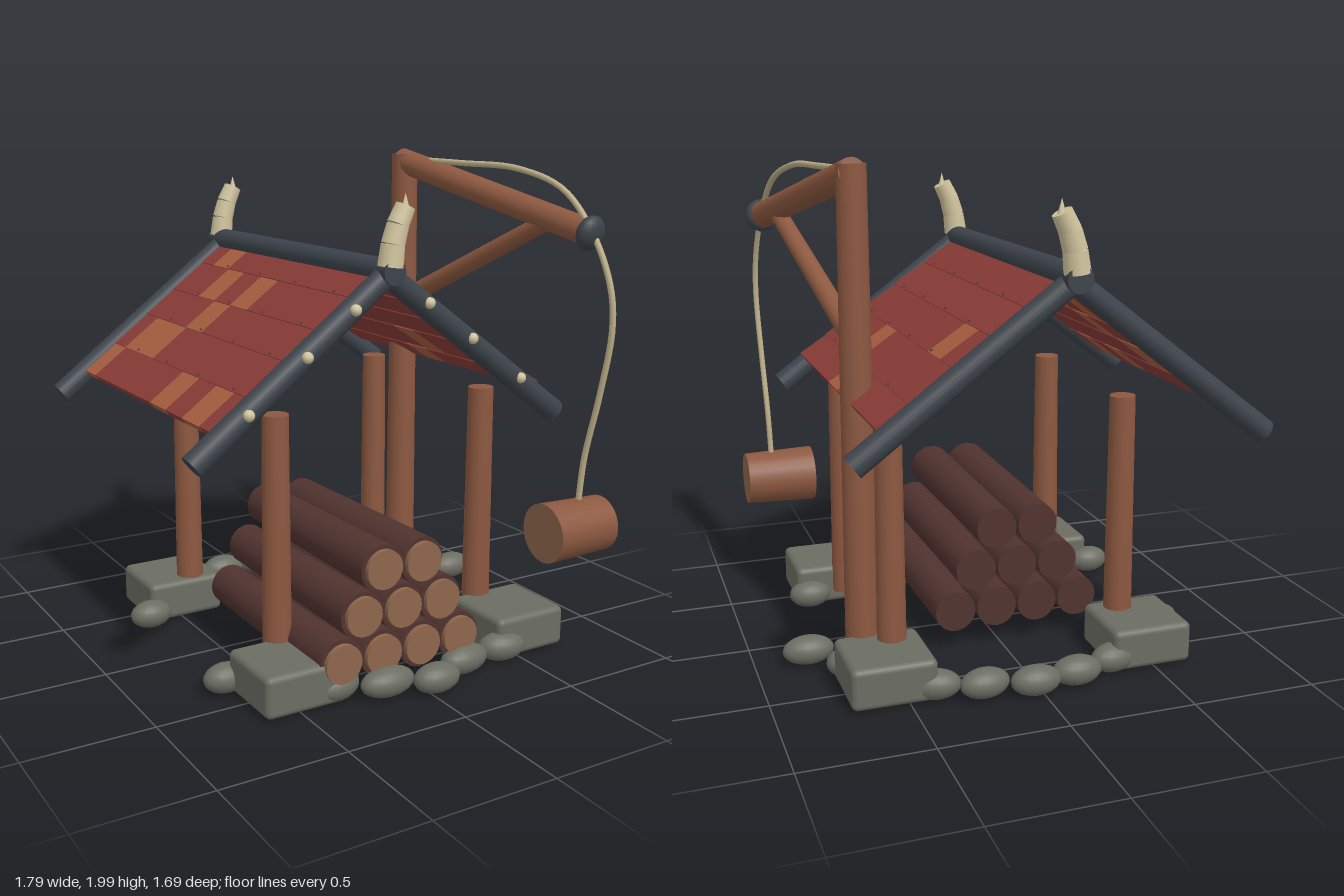
import * as THREE from 'three';
import { mergeGeometries } from 'three/addons/utils/BufferGeometryUtils.js';
import { RoundedBoxGeometry } from 'three/addons/geometries/RoundedBoxGeometry.js';

const makeMat = (name, color) => {
  const m = new THREE.MeshStandardMaterial({ color });
  m.name = name;
  return m;
};
const V = (x, y, z) => new THREE.Vector3(x, y, z);

export function createModel() {
  const root = new THREE.Group();
  root.name = 'woodShelter';
  const wood = makeMat('brown wood', 0x8c5840);
  const cutWood = makeMat('cut wood', 0x8e664b);
  const bark = makeMat('dark bark', 0x50332f);
  const slate = makeMat('dark slate beam', 0x3c434a);
  const red = makeMat('red plank', 0x8b3d38);
  const orange = makeMat('orange plank', 0xa85e40);
  const stone = makeMat('grey stone', 0x6b6d62);
  const ivory = makeMat('ivory', 0xcfc29c);
  const rope = makeMat('rope', 0xbcae88);

  const add = (name, geo, mat, pos) => {
    const m = new THREE.Mesh(geo, mat);
    m.name = name;
    if (pos) m.position.copy(pos);
    root.add(m);
    return m;
  };
  // Tapered round beam between two points
  const rod = (name, a, b, ra, rb, mat, sides = 20) => {
    const d = b.clone().sub(a);
    const m = add(name, new THREE.CylinderGeometry(rb, ra, d.length(), sides), mat, a.clone().add(b).multiplyScalar(0.5));
    m.quaternion.setFromUnitVectors(V(0, 1, 0), d.normalize());
    return m;
  };

  // Foundation blocks and roof posts
  for (const x of [-0.485, 0.56]) for (const z of [0.53, -0.52]) {
    add('footStone', new RoundedBoxGeometry(0.33, 0.165, 0.32, 3, 0.025), stone, V(x, 0.098, z));
  }
  for (const x of [-0.44, 0.51]) for (const z of [0.375, -0.43]) {
    rod('roofPost', V(x, 0.07, z), V(x, 1.065, z), 0.058, 0.051, wood);
  }

  // Pebbles along the front, back and sides: x, z, length, turn
  const pebbles = [
    [-0.33, 0.64, 0.1, 0.2], [-0.15, 0.71, 0.115, 0], [0.03, 0.775, 0.1, 0], [0.22, 0.69, 0.11, 0.1], [0.42, 0.67, 0.1, -0.2],
    [-0.33, -0.64, 0.1, 0.2], [-0.15, -0.7, 0.1, 0], [0.03, -0.73, 0.1, 0], [0.22, -0.69, 0.1, 0.1], [0.4, -0.64, 0.1, -0.2],
    [-0.66, 0.37, 0.09, 0], [0.67, 0.375, 0.09, 0], [-0.66, -0.35, 0.09, 0], [0.67, -0.345, 0.08, 0], [0.79, -0.19, 0.103, 0],
  ];
  for (const [x, z, r, turn] of pebbles) {
    const p = add('pebble', new THREE.SphereGeometry(1, 18, 12), stone, V(x, 0.066, z));
    p.scale.set(r, 0.058, 0.062);
    p.rotation.y = turn;
  }

  // Log stack with pale cut faces at the front
  for (let row = 0; row < 3; row++) for (let i = 0; i < 4 - row; i++) {
    const x = -0.333 + row * 0.088 + i * 0.176;
    const y = 0.17 + row * 0.168;
    rod('log', V(x, y, -0.255), V(x, y, 0.68), 0.084, 0.093, bark, 24);
    rod('logCutFace', V(x, y, 0.67), V(x, y, 0.7), 0.077, 0.077, cutWood, 24);
  }

  // Roof planks: each slope has five rows of nine cells, some of them orange
  const slopes = [
    { side: 'left', xs: [-0.08, -0.2, -0.34, -0.47, -0.62, -0.76], end: V(-0.87, 0.97, 0), lift: [0.015, 0.015],
      patches: [[1], [2, 4], [3], [1, 2], [0, 5, 7]] },
    { side: 'right', xs: [-0.08, 0.07, 0.2, 0.34, 0.5, 0.61], end: V(0.725, 0.98, 0), lift: [0.018, 0.05],
      patches: [[], [], [1], [5], [4]] },
  ];
  const apex = V(-0.08, 1.58, 0);
  const zBack = -0.76, cell = 1.33 / 9, thick = 0.03;
  for (const s of slopes) {
    const dir = s.end.clone().sub(apex).normalize();
    const up = V(Math.abs(dir.y), Math.abs(dir.x), 0);
    up.x *= Math.sign(dir.x);
    const at = (x, t) => apex.clone().addScaledVector(dir, (x - apex.x) / dir.x)
      .addScaledVector(up, THREE.MathUtils.lerp(s.lift[0], s.lift[1], t) - thick / 2);
    const parts = { red: [], orange: [] };
    for (let r = 0; r < 5; r++) {
      const a = at(s.xs[r], r / 5), b = at(s.xs[r + 1], (r + 1) / 5);
      b.addScaledVector(up, 0.004);
      const d = b.clone().sub(a), mid = a.clone().add(b).multiplyScalar(0.5);
      for (let c = 0; c < 9; c++) {
        const g = new THREE.BoxGeometry(d.length(), thick, cell);
        g.rotateZ(Math.atan(d.y / d.x));
        g.translate(mid.x, mid.y, zBack + (c + 0.5) * cell);
        (s.patches[r].includes(c) ? parts.orange : parts.red).push(g);
      }
      // Nail heads near the lower edge of the plank row
      if (r < 4) for (let c = 1; c < 9; c += 2) {
        const n = b.clone().addScaledVector(up, thick / 2).addScaledVector(dir, -0.012);
        n.z = zBack + (c + 1) * cell - 0.02;
        add('nailHead', new THREE.SphereGeometry(0.006, 6, 4), slate, n);
      }
    }
    add(s.side + 'RoofPlanks', mergeGeometries(parts.red), red);
    add(s.side + 'RoofPatches', mergeGeometries(parts.orange), orange);

    // Gable beams at both ends
    for (const z of [0.57, -0.77]) {
      rod('gableBeam', V(apex.x, apex.y, z), V(s.end.x, s.end.y, z), 0.044, 0.047, slate);
    }
    // Ivory studs on the front gable
    for (const f of [0.2, 0.45, 0.745]) {
      const p = apex.clone().lerp(s.end, f);
      add('gableStud', new THREE.SphereGeometry(0.022, 12, 8), ivory, V(p.x, p.y + 0.01, 0.612));
    }
  }
  rod('ridgeBeam', V(-0.08, 1.592, -0.835), V(-0.08, 1.592, 0.625), 0.05, 0.047, slate);

  // Curved horns at the ridge ends, each with a small spike
  for (const z of [0.59, -0.8]) {
    const pts = [V(-0.08, 1.61, z), V(-0.07, 1.69, z), V(-0.05, 1.76, z), V(-0.018, 1.825, z)];
    const radii = [0.049, 0.045, 0.042, 0.038];
    for (let i = 0; i < 3; i++) {
      rod('ridgeHorn', pts[i], pts[i + 1], radii[i], radii[i + 1], ivory, 16);
    }
    add('hornSpike', new THREE.ConeGeometry(0.021, 0.075, 12), ivory, V(-0.018, 1.835, z));
  }

  // Crane: post, arm, brace and dark arm cap
  rod('cranePost', V(0.605, 0.07, -0.34), V(0.605, 1.975, -0.34), 0.066, 0.056, wood);
  const armTop = V(0.605, 1.945, -0.36), armTip = V(0.765, 1.7, 0.7);
  rod('craneArm', armTop, armTip, 0.054, 0.054, wood);
  rod('craneBrace', V(0.61, 1.345, -0.3), V(0.735, 1.74, 0.5), 0.041, 0.036, wood);
  const cap = add('armCap', new THREE.SphereGeometry(0.07, 18, 12), slate, armTip);
  cap.scale.z = 0.6;
  cap.lookAt(armTip.clone().multiplyScalar(2).sub(armTop));

  // Hanging rope
  const ropePath = new THREE.CatmullRomCurve3([
    V(0.625, 1.95, -0.27), V(0.645, 1.945, 0.03), V(0.69, 1.932, 0.35), V(0.735, 1.86, 0.57),
    V(0.765, 1.7, 0.715), V(0.782, 1.5, 0.808), V(0.785, 1.34, 0.825), V(0.778, 1.07, 0.78),
    V(0.77, 0.81, 0.72), V(0.765, 0.6, 0.7),
  ]);
  add('craneRope', new THREE.TubeGeometry(ropePath, 60, 0.0125, 8), rope);

  // Hanging log weight
  const weight = rod('hangingLog', V(0.585, 0.52, 0.705), V(0.88, 0.52, 0.705), 0.121, 0.112, wood, 24);
  weight.material = [wood, cutWood, cutWood];
  return root;
}
